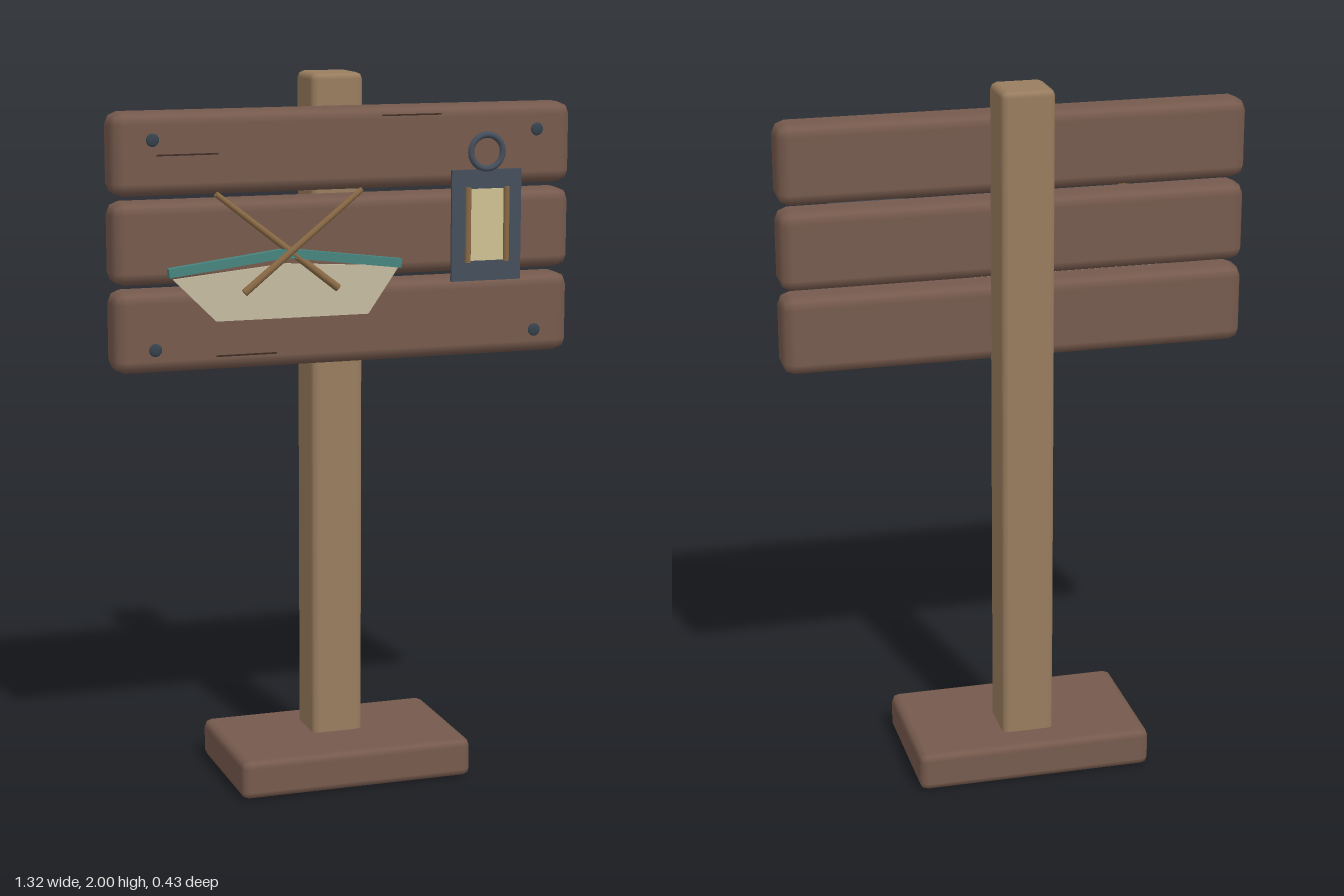
import * as THREE from 'three';
import { RoundedBoxGeometry } from 'three/addons/geometries/RoundedBoxGeometry.js';

const mat = (name, color) => {
  const m = new THREE.MeshStandardMaterial({ color });
  m.name = name;
  return m;
};

export function createModel() {
  const darkWood = mat('dark wood', 0x765a4d);
  const postWood = mat('post wood', 0x997d5f);
  const paddleWood = mat('paddle wood', 0x8a6a45);
  const cream = mat('cream', 0xc6bca0);
  const glow = mat('lantern glass', 0xcfc193);
  const teal = mat('teal', 0x47857f);
  const slate = mat('slate metal', 0x454f5c);
  const boltMetal = mat('bolt metal', 0x36424d);
  const grain = mat('grain', 0x3f2c25);

  const model = new THREE.Group();
  model.name = 'signpost';

  const add = (parent, name, geometry, material, x = 0, y = 0, z = 0) => {
    const mesh = new THREE.Mesh(geometry, material);
    mesh.name = name;
    mesh.position.set(x, y, z);
    parent.add(mesh);
    return mesh;
  };
  const group = (name) => {
    const g = new THREE.Group();
    g.name = name;
    model.add(g);
    return g;
  };

  // Base and post
  add(model, 'base', new RoundedBoxGeometry(0.68, 0.112, 0.43, 1, 0.022), darkWood, 0, 0.056, 0);
  add(model, 'post', new RoundedBoxGeometry(0.15, 1.998, 0.15, 1, 0.018), postWood, 0, 1.001, -0.05);

  // Three planks
  [1.32, 1.56, 1.8].forEach((y) =>
    add(model, 'plank', new RoundedBoxGeometry(1.32, 0.224, 0.118, 1, 0.034), darkWood, 0, y, 0.059));

  // Bolts at the corners of the board
  const boltGeometry = new THREE.SphereGeometry(0.018, 16, 10).scale(1, 1, 0.28);
  for (const x of [-0.55, 0.55])
    for (const y of [1.275, 1.84]) add(model, 'bolt', boltGeometry, boltMetal, x, y, 0.124);

  // Wood grain scratches
  [[-0.455, 1.799], [0.18, 1.889], [-0.295, 1.25]].forEach(([x, y]) =>
    add(model, 'grainLine', new THREE.BoxGeometry(0.17, 0.004, 0.004), grain, x, y, 0.126));

  // Boat hull plate
  const boat = group('boat');
  const hull = new THREE.Shape([
    [-0.5, 1.465], [-0.38, 1.345], [0.055, 1.345], [0.145, 1.475], [-0.18, 1.495],
  ].map(([x, y]) => new THREE.Vector2(x, y)));
  add(boat, 'hull', new THREE.ExtrudeGeometry(hull, { depth: 0.007, bevelEnabled: false }), cream, 0, 0, 0.119);

  // Gunwale in two sloping halves
  for (const s of [-1, 1]) {
    const rail = add(boat, 'gunwale', new THREE.BoxGeometry(0.335, 0.025, 0.022), teal, -0.183 + s * 0.164, 1.504, 0.129);
    rail.rotation.z = -s * 0.125;
  }

  // Crossed paddles, wider towards the blade
  const up = new THREE.Vector3(0, 1, 0);
  [[-0.38, -0.035, 0.132], [0.03, -0.305, 0.142]].forEach(([x1, x2, z]) => {
    const top = new THREE.Vector3(x1, 1.692, z);
    const bottom = new THREE.Vector3(x2, 1.422, z);
    const dir = top.clone().sub(bottom);
    const paddle = add(boat, 'paddle', new THREE.CylinderGeometry(0.008, 0.011, dir.length(), 8), paddleWood);
    paddle.position.copy(top).add(bottom).multiplyScalar(0.5);
    paddle.quaternion.setFromUnitVectors(up, dir.normalize());
  });

  // Lantern: plate, glass, side bars and hanging ring
  const lantern = group('lantern');
  add(lantern, 'lanternPlate', new THREE.BoxGeometry(0.206, 0.31, 0.008), slate, 0.4, 1.578, 0.126);
  add(lantern, 'lanternGlass', new THREE.BoxGeometry(0.11, 0.2, 0.006), glow, 0.4, 1.58, 0.131);
  for (const x of [0.343, 0.457])
    add(lantern, 'lanternBar', new THREE.CylinderGeometry(0.009, 0.009, 0.208, 8), paddleWood, x, 1.58, 0.136);
  add(lantern, 'lanternRing', new THREE.TorusGeometry(0.047, 0.009, 8, 24), slate, 0.4, 1.782, 0.128);

  return model;
}
